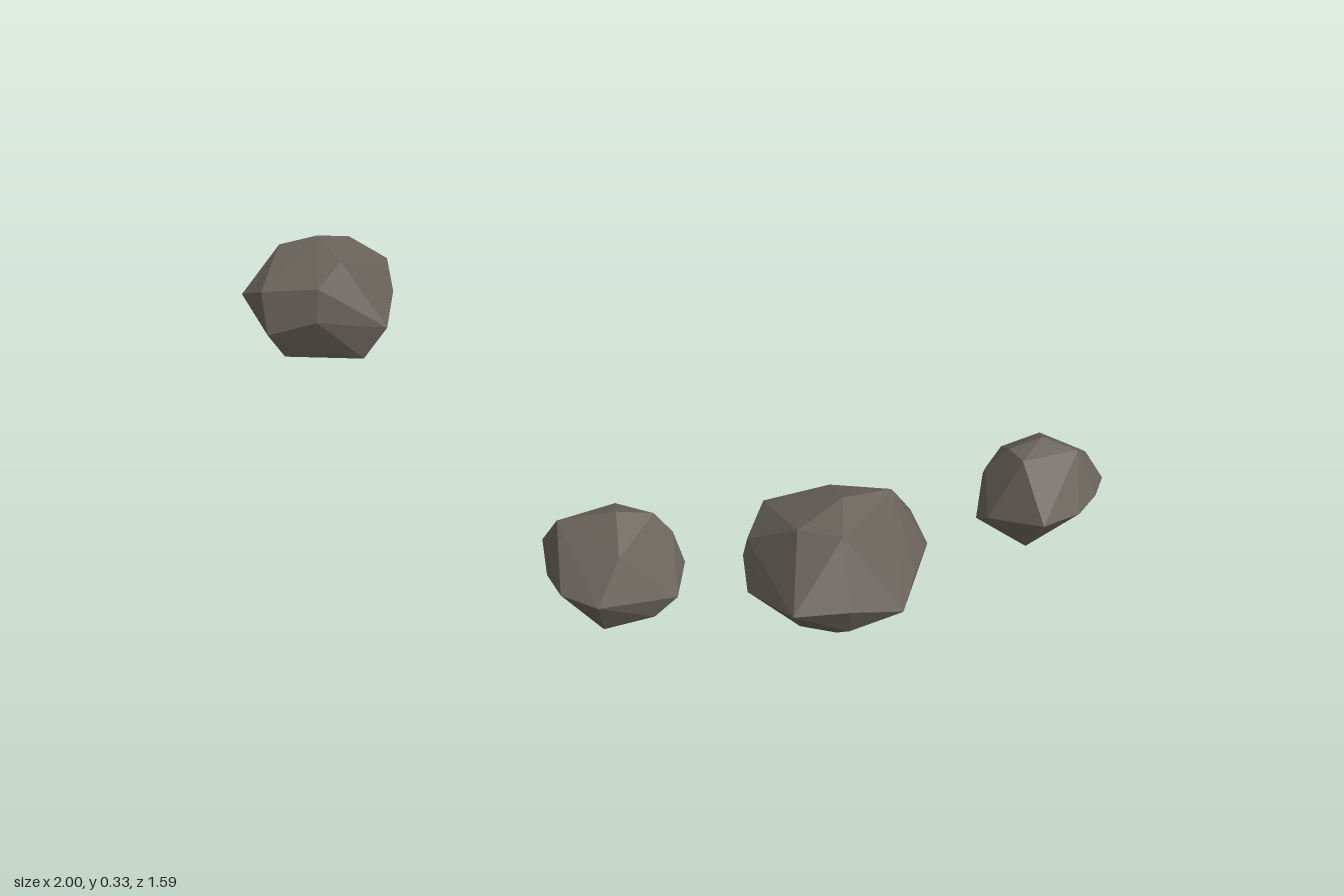
import * as THREE from 'three';
import { ConvexGeometry } from 'three/addons/geometries/ConvexGeometry.js';

// Corner points of each boulder, as [x, y, z]
const boulders = {
  backBoulder: [
    [-1, .166, -.61], [-.9, .29, -.64], [-.8, .322, -.624], [-.73, .295, -.68], [-.83, .27, -.73],
    [-.87, .2, -.797], [-.69, .22, -.765], [-.64, .225, -.7], [-.62, .166, -.63], [-.625, .12, -.515],
    [-.78, .25, -.465], [-.79, .16, -.46], [-.93, .22, -.51], [-.73, .295, -.53], [-.96, .11, -.65],
    [-.69, .03, -.52], [-.89, .03, -.53], [-.8, .016, -.62], [-.72, .03, -.71], [-.86, .08, -.77],
    [-.92, .11, -.49],
  ],
  largeBoulder: [
    [.305, .166, .797], [.417, .17, .786], [.406, .328, .62], [.51, .305, .55], [.315, .29, .68],
    [.4, .3, .72], [.225, .2, .57], [.217, .166, .58], [.225, .118, .64], [.26, .24, .49],
    [.396, .26, .46], [.46, .17, .45], [.396, .13, .44], [.56, .22, .49], [.592, .17, .54],
    [.555, .17, .647], [.524, .14, .738], [.41, .002, .615], [.5, .05, .56], [.33, .043, .54],
    [.33, .06, .675], [.42, .1, .748], [.53, .09, .67],
  ],
  middleBoulder: [
    [-.187, .19, .56], [-.155, .26, .6], [-.037, .3, .63], [.037, .278, .6], [-.04, .27, .55],
    [-.02, .18, .497], [-.14, .17, .52], [.03, .15, .52], [.075, .235, .6], [.1, .17, .61],
    [.085, .14, .69], [-.07, .18, .79], [-.144, .17, .73], [-.03, .25, .72], [-.176, .144, .62],
    [-.037, .037, .63], [.027, .075, .57], [-.096, .075, .57], [-.06, .09, .73], [.04, .1, .7],
  ],
  leftBoulder: [
    [.72, .118, .36], [.738, .214, .315], [.75, .15, .23], [.78, .275, .34], [.85, .29, .316],
    [.86, .26, .244], [.79, .2, .2], [.904, .175, .19], [.9, .1, .192], [.968, .2, .22],
    [.925, .267, .33], [.998, .166, .273], [.968, .17, .353], [.925, .16, .41], [.84, .167, .472],
    [.8, .275, .39], [.738, .14, .396], [.856, .056, .316], [.95, .086, .29], [.76, .075, .3],
    [.82, .08, .41], [.8, .08, .22],
  ],
};

export function createModel() {
  const group = new THREE.Group();
  group.name = 'boulders';
  const stone = new THREE.MeshStandardMaterial({ color: 0x69635b });
  stone.name = 'stone';

  // Each boulder is a faceted hull around its corners, with its own centre as origin
  for (const [name, corners] of Object.entries(boulders)) {
    const points = corners.map((c) => new THREE.Vector3(...c));
    const centre = new THREE.Box3().setFromPoints(points).getCenter(new THREE.Vector3());
    const mesh = new THREE.Mesh(new ConvexGeometry(points.map((p) => p.sub(centre))), stone);
    mesh.name = name;
    mesh.position.copy(centre);
    group.add(mesh);
  }
  return group;
}
